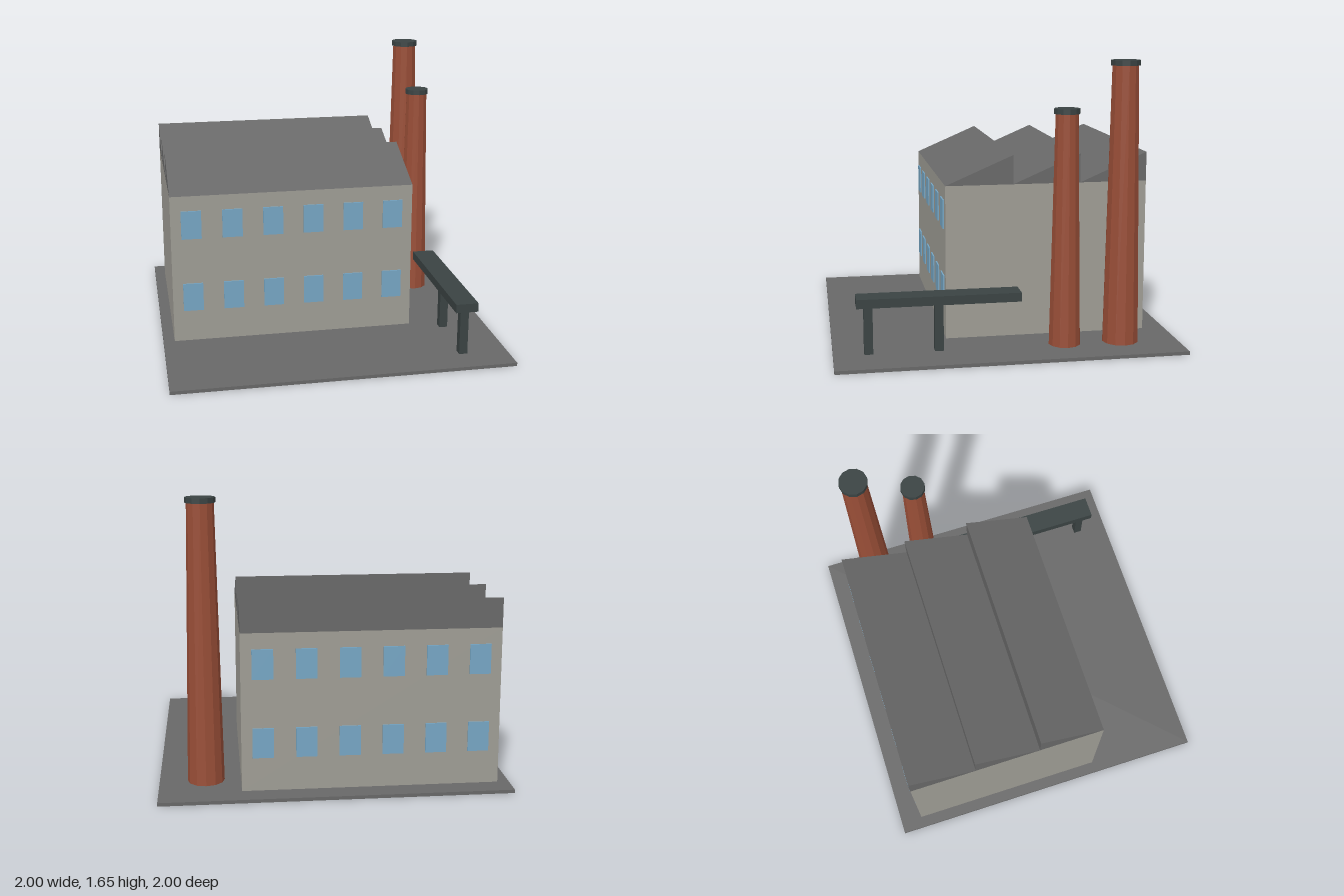
import * as THREE from 'three';

const mat = (name, color, extra = {}) => {
  const m = new THREE.MeshStandardMaterial({ color, ...extra });
  m.name = name;
  return m;
};

export function createModel() {
  const grey = mat('slate grey', 0x686868);
  const concrete = mat('concrete', 0x9f9d95);
  const glass = mat('window blue', 0x76a6c4);
  const brick = mat('brick red', 0x994e37, { flatShading: true });
  const iron = mat('dark iron', 0x3a4343, { flatShading: true });

  const model = new THREE.Group();
  model.name = 'factory';

  const add = (name, geometry, material, x, y, z, parent = model) => {
    const mesh = new THREE.Mesh(geometry, material);
    mesh.name = name;
    mesh.position.set(x, y, z);
    parent.add(mesh);
    return mesh;
  };
  // Box given by its lower and upper limits on each axis
  const box = (name, material, [x0, x1], [y0, y1], [z0, z1], parent) =>
    add(name, new THREE.BoxGeometry(x1 - x0, y1 - y0, z1 - z0), material,
      (x0 + x1) / 2, (y0 + y1) / 2, (z0 + z1) / 2, parent);

  const ground = 0.02, left = 0.533, right = -0.933, front = 0.333, back = -0.867, eaves = 0.93;

  // Yard slab and main hall
  box('yard', grey, [-1, 1], [0, ground], [-1, 1]);
  box('hall', concrete, [right, left], [ground, eaves], [back, front]);

  // Sawtooth roof: each tooth slopes up to a vertical back face
  const bay = (front - back) / 3;
  const profile = new THREE.Shape([
    new THREE.Vector2(0, 0), new THREE.Vector2(bay, 0), new THREE.Vector2(0, 0.172),
  ]);
  const tooth = new THREE.ExtrudeGeometry(profile, { depth: left - right, bevelEnabled: false });
  tooth.rotateY(-Math.PI / 2);
  for (let i = 0; i < 3; i++) add('roofTooth', tooth, grey, left, eaves, back + i * bay);

  // Two rows of six windows on the front and back walls
  const windows = new THREE.Group();
  windows.name = 'windows';
  model.add(windows);
  const pane = new THREE.BoxGeometry(0.12, 0.172, 0.009);
  for (const z of [front + 0.0035, back - 0.0035])
    for (const y of [0.3, 0.753])
      for (let i = 0; i < 6; i++)
        add('window', pane, glass, -0.811 + i * 0.2443, y, z, windows);

  // Tapered chimneys with caps
  const chimney = (name, z, height, bottomR, topR, capR) => {
    const group = new THREE.Group();
    group.name = name;
    group.position.set(0.733, 0, z);
    model.add(group);
    const h = height - 0.015 - ground;
    add('stack', new THREE.CylinderGeometry(topR, bottomR, h, 12), brick, 0, ground + h / 2, 0, group);
    add('cap', new THREE.CylinderGeometry(capR, capR, 0.03, 12), iron, 0, height - 0.015, 0, group);
  };
  chimney('tallChimney', -0.667, 1.655, 0.106, 0.076, 0.085);
  chimney('shortChimney', -0.333, 1.388, 0.093, 0.066, 0.075);

  // Conveyor deck on two legs
  box('conveyorDeck', iron, [0.663, 0.797], [0.3, 0.352], [-0.067, 0.867]);
  for (const z of [0.4, 0.8])
    box('conveyorLeg', iron, [0.705, 0.755], [ground, 0.29], [z - 0.025, z + 0.025]);

  return model;
}
